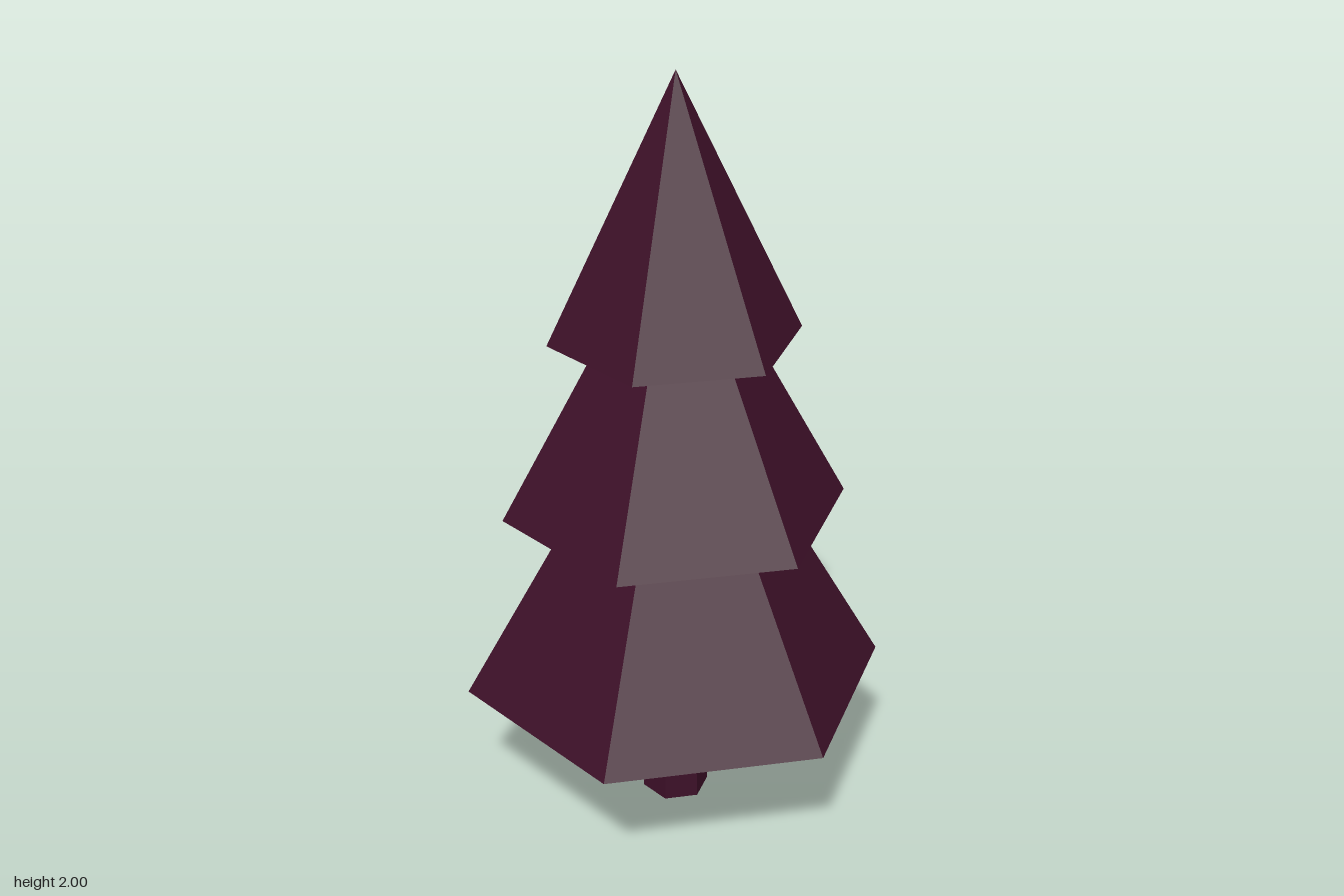
import * as THREE from 'three';

export function createModel() {
  const tree = new THREE.Group();
  tree.name = 'tree';
  const plum = new THREE.MeshStandardMaterial({ color: 0x3d1028, flatShading: true });
  plum.name = 'dark plum';

  // Six-sided solid with corners on the x axis
  function addHexagon(name, topRadius, bottomRadius, bottom, top) {
    const geometry = topRadius > 0
      ? new THREE.CylinderGeometry(topRadius, bottomRadius, top - bottom, 6)
      : new THREE.ConeGeometry(bottomRadius, top - bottom, 6);
    geometry.rotateY(Math.PI / 6);
    geometry.translate(0, (top + bottom) / 2, 0);
    const mesh = new THREE.Mesh(geometry, plum);
    mesh.name = name;
    tree.add(mesh);
  }

  addHexagon('trunk', 0.088, 0.088, 0, 0.4);

  // Foliage tiers, each tucked into the one above
  addHexagon('lowerFoliage', 0, 0.555, 0.362, 1.33);
  addHexagon('middleFoliage', 0, 0.447, 0.858, 1.68);
  addHexagon('upperFoliage', 0, 0.322, 1.328, 2);

  return tree;
}
